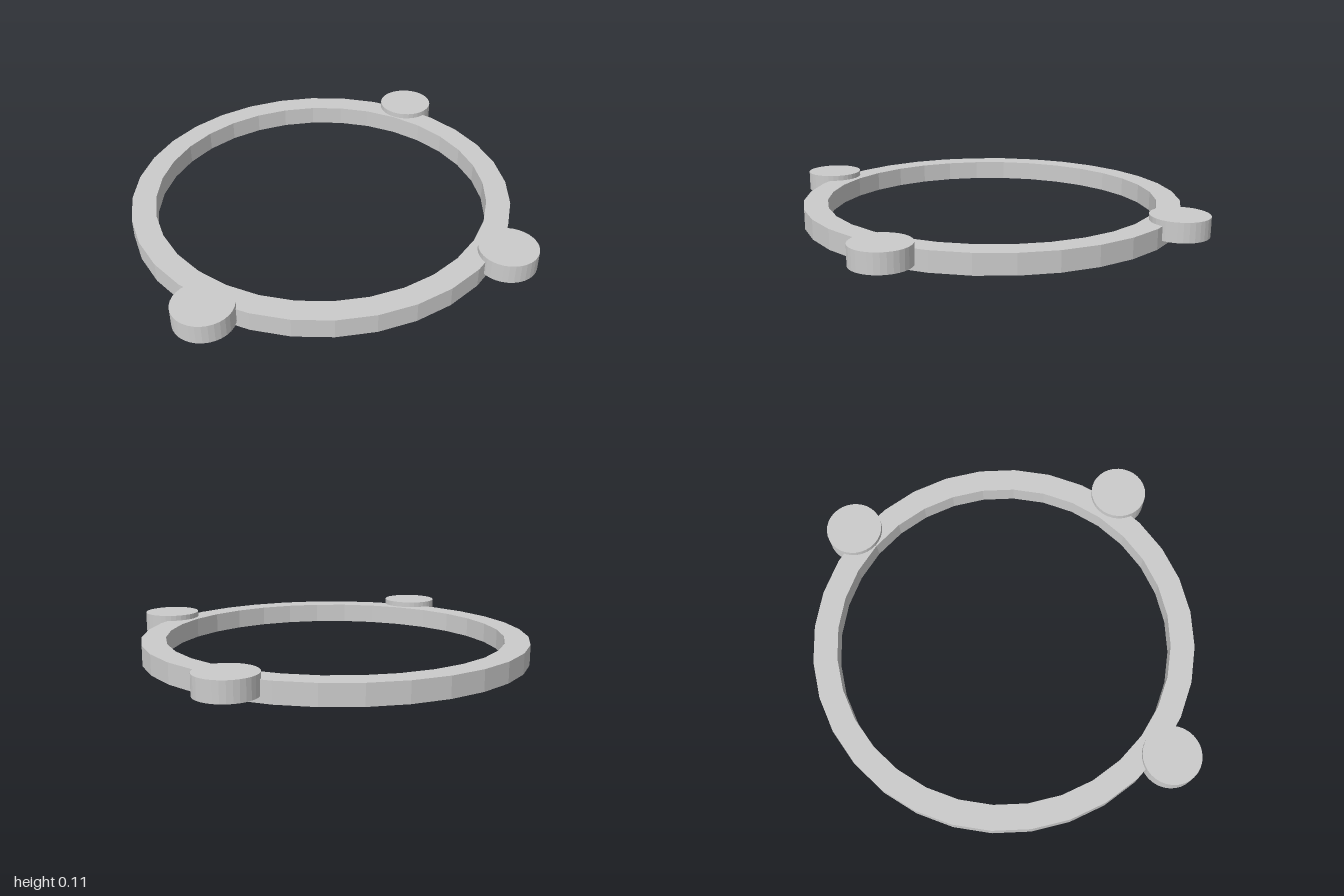
import * as THREE from 'three';

export function createModel() {
  const group = new THREE.Group();
  const material = new THREE.MeshStandardMaterial({ color: 0xcccccc, flatShading: true });
  const centre = { x: -0.085, z: -0.01 };

  // Flat ring: rectangular section swept round in 32 facets
  const inner = 0.735, outer = 0.84, height = 0.087;
  const section = [[inner, 0], [outer, 0], [outer, height], [inner, height], [inner, 0]]
    .map(([r, y]) => new THREE.Vector2(r, y));
  const ring = new THREE.Mesh(new THREE.LatheGeometry(section, 32), material);
  ring.name = 'ring';
  ring.position.set(centre.x, 0, centre.z);
  group.add(ring);

  // Three round pads overlapping the rim, slightly raised
  const padGeometry = new THREE.CylinderGeometry(0.125, 0.125, 0.085, 32);
  const pads = [
    ['frontPad', centre.x, 0.875],
    ['backPad', centre.x, -0.875],
    ['leftPad', 0.8, centre.z],
  ];
  for (const [name, x, z] of pads) {
    const pad = new THREE.Mesh(padGeometry, material);
    pad.name = name;
    pad.position.set(x, 0.0685, z);
    group.add(pad);
  }
  return group;
}
